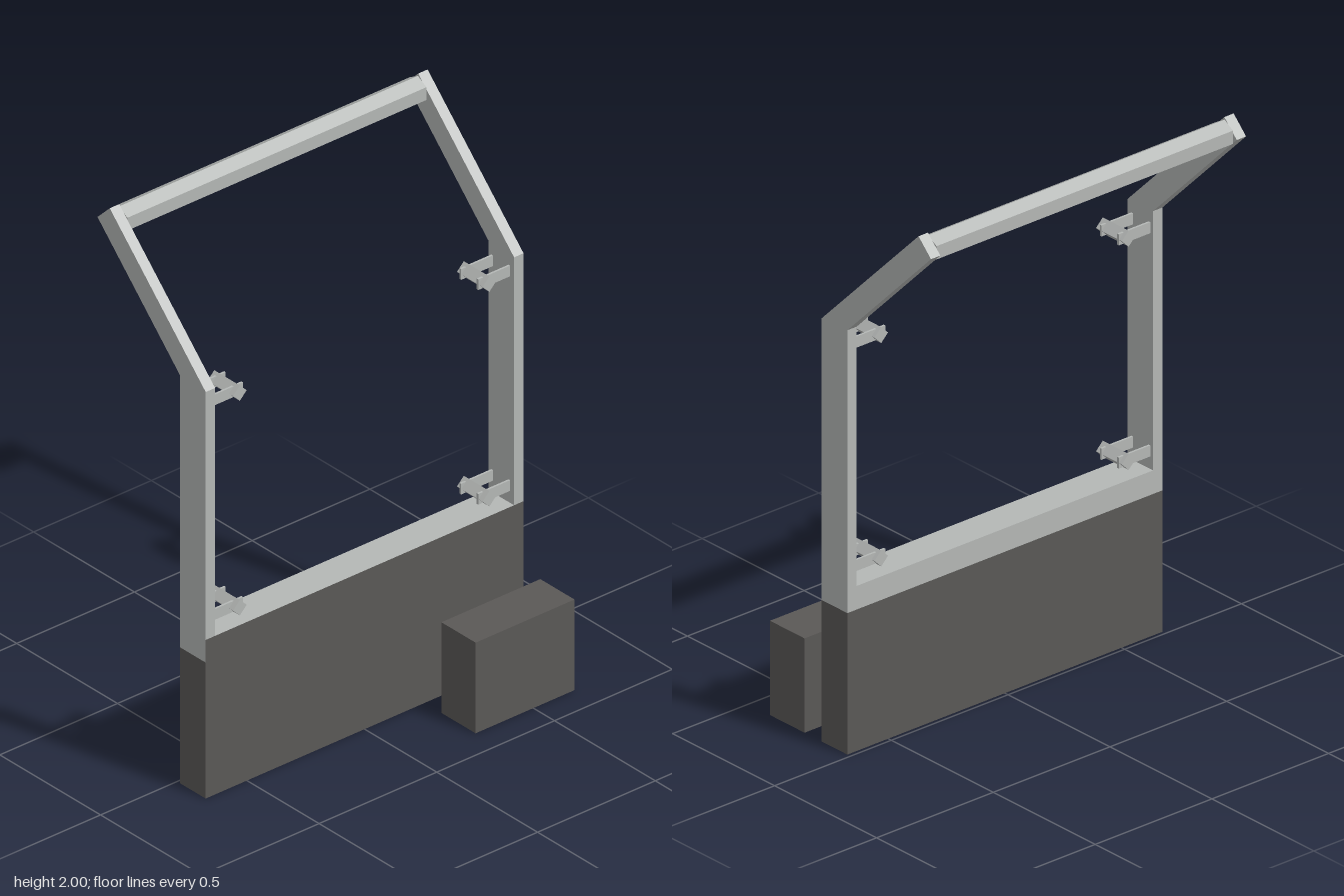
import * as THREE from 'three';

const HALF = 0.675, POST = 0.04, FRONT = 0.142, BACK = 0.015;
const INNER = HALF - POST, DEPTH = FRONT - BACK, MID = (FRONT + BACK) / 2;

export function createModel() {
  const group = new THREE.Group();
  const grey = new THREE.MeshStandardMaterial({ color: 0xb4b7b5 });
  grey.name = 'light grey';
  const dark = new THREE.MeshStandardMaterial({ color: 0x5a5856 });
  dark.name = 'dark grey';

  const add = (name, geometry, material, x, y, z, parent = group) => {
    const mesh = new THREE.Mesh(geometry, material);
    mesh.name = name;
    mesh.position.set(x, y, z);
    parent.add(mesh);
    return mesh;
  };

  // Lower wall, and the rail above it whose front face is dark
  add('lowerWall', new THREE.BoxGeometry(2 * HALF, 0.51, DEPTH), dark, 0, 0.255, MID);
  add('rail', new THREE.BoxGeometry(2 * HALF, 0.085, DEPTH),
    [grey, grey, grey, grey, dark, grey], 0, 0.5525, MID);

  // Free-standing block in front
  add('frontBlock', new THREE.BoxGeometry(0.42, 0.34, 0.17), dark, 0.465, 0.17, 0.31);

  // Side posts with the upper arm bent backwards, outlined as (z, y)
  const outline = [[FRONT, 0.595], [FRONT, 1.525], [-0.334, 2], [-0.395, 1.94], [BACK, 1.53], [BACK, 0.595]];
  const shape = new THREE.Shape(outline.map(([z, y]) => new THREE.Vector2(-z, y)));
  const postGeometry = new THREE.ExtrudeGeometry(shape, { depth: POST, bevelEnabled: false });
  postGeometry.rotateY(Math.PI / 2);
  add('leftPost', postGeometry, grey, INNER, 0, 0);
  add('rightPost', postGeometry, grey, -HALF, 0, 0);

  // Six-sided top bar with an edge pointing up
  const bar = new THREE.CylinderGeometry(0.048, 0.048, 2 * INNER, 6).toNonIndexed();
  bar.rotateZ(Math.PI / 2);
  bar.rotateX(Math.PI / 2);
  bar.computeVertexNormals();
  add('topBar', bar, grey, 0, 1.943, -0.335);

  // Brackets: two thin plates carrying a square pin turned on its corner
  const plate = new THREE.BoxGeometry(0.135, 0.04, 0.008);
  const pin = new THREE.BoxGeometry(0.041, 0.041, DEPTH);
  pin.rotateZ(Math.PI / 4);
  for (const side of [-1, 1]) {
    for (const y of [0.66, 1.465]) {
      const bracket = new THREE.Group();
      bracket.name = `${side > 0 ? 'left' : 'right'}${y > 1 ? 'Upper' : 'Lower'}Bracket`;
      for (const z of [0.033, 0.118]) add('bracketPlate', plate, grey, side * 0.5675, y, z, bracket);
      add('bracketPin', pin, grey, side * 0.53, y, MID, bracket);
      group.add(bracket);
    }
  }
  return group;
}
